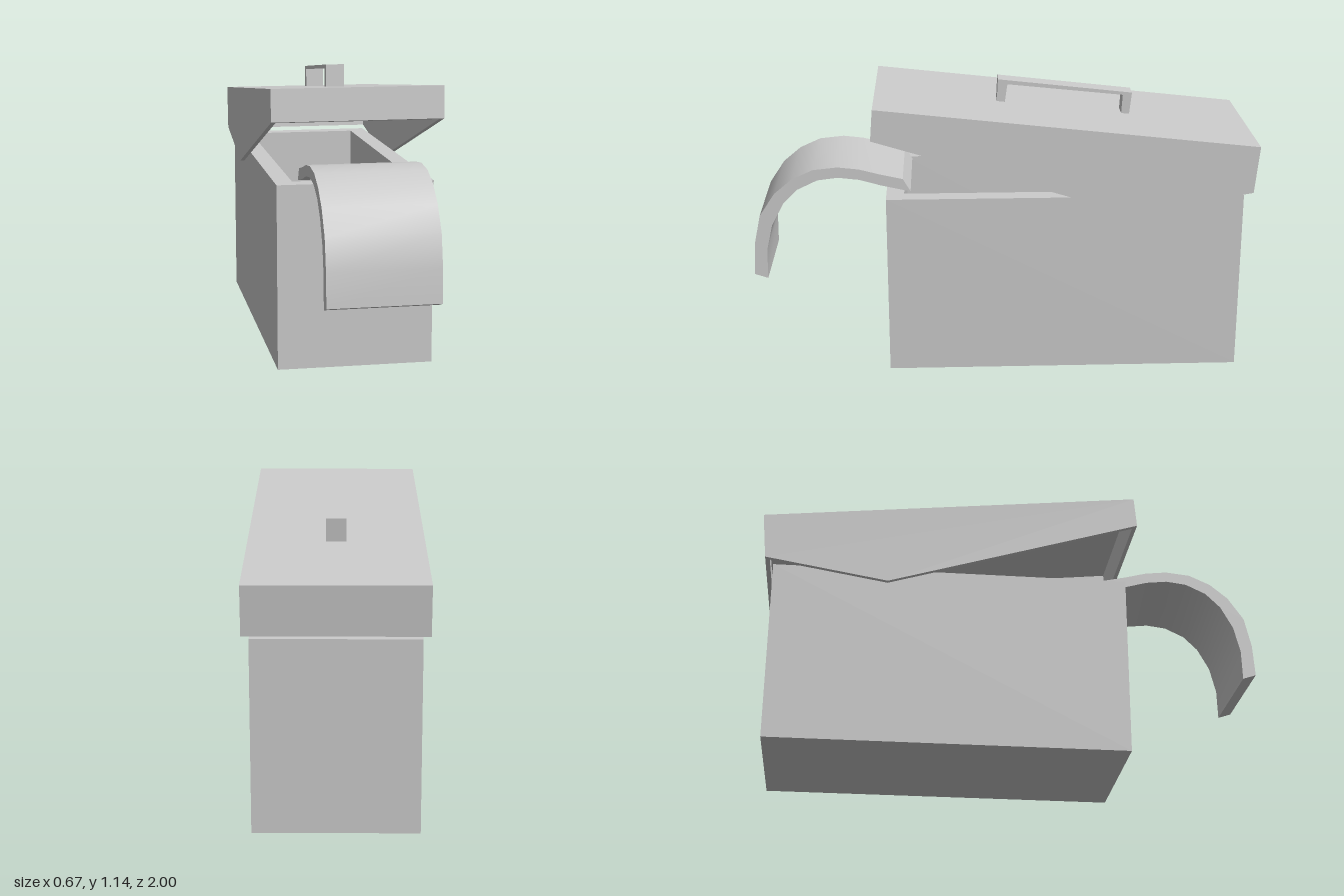
import * as THREE from 'three';
import { toCreasedNormals } from 'three/addons/utils/BufferGeometryUtils.js';

const material = new THREE.MeshStandardMaterial({ color: 0xcccccc });

// Side profile of [z, y] points, extruded across x and centred on x = 0
function profile(points, width) {
  const shape = new THREE.Shape(points.map(([z, y]) => new THREE.Vector2(z, y)));
  const geo = new THREE.ExtrudeGeometry(shape, { depth: width, bevelEnabled: false });
  return geo.translate(0, 0, -width / 2).rotateY(-Math.PI / 2);
}

function add(parent, name, geometry, x = 0, y = 0, z = 0) {
  const mesh = new THREE.Mesh(geometry, material);
  mesh.name = name;
  mesh.position.set(x, y, z);
  parent.add(mesh);
  return mesh;
}

// Rectangle outline centred on the origin
function rect(Type, w, d) {
  return new Type([[-1, -1], [1, -1], [1, 1], [-1, 1]]
    .map(([x, y]) => new THREE.Vector2(x * w / 2, y * d / 2)));
}

export function createModel() {
  const model = new THREE.Group();
  model.name = 'openBox';

  // Open container: a ring of walls on a floor slab
  const W = 0.614, D = 1.41, H = 0.73, wall = 0.07, zMid = -0.245;
  const container = new THREE.Group();
  container.name = 'container';
  container.position.z = zMid;
  const ring = rect(THREE.Shape, W, D);
  ring.holes.push(rect(THREE.Path, W - 2 * wall, D - 2 * wall));
  const walls = new THREE.ExtrudeGeometry(ring, { depth: H, bevelEnabled: false });
  add(container, 'containerWalls', walls.rotateX(-Math.PI / 2));
  add(container, 'containerFloor',
    new THREE.BoxGeometry(W - 2 * wall, wall, D - 2 * wall), 0, wall / 2, 0);
  model.add(container);

  // Tilted lid: a thin shell whose skirt drops to a point at the sides
  const lid = new THREE.Group();
  lid.name = 'lid';
  const t = 0.018, lidW = 0.666;
  const topFront = [0.503, 1.103], lowFront = [0.513, 0.978];
  const point = [-0.497, 0.668], lowBack = [-0.982, 0.748], topBack = [-1, 0.936];
  add(lid, 'lidTopAndEnds', profile([
    topFront, topBack, lowBack, [lowBack[0] + t, lowBack[1] - 0.003],
    [topBack[0] + t, topBack[1] - t + 0.002], [topFront[0] - t, topFront[1] - t - 0.002],
    [lowFront[0] - t, lowFront[1] - 0.005], lowFront,
  ], lidW - 2 * t));
  for (const side of [-1, 1]) {
    add(lid, side > 0 ? 'lidLeftSide' : 'lidRightSide',
      profile([topFront, topBack, lowBack, point, lowFront], t), side * (lidW - t) / 2);
  }
  add(lid, 'lidHandle', profile([
    [0.011, 1.139], [0.016, 1.04], [-0.016, 1.04], [-0.027, 1.118],
    [-0.492, 1.069], [-0.487, 0.985], [-0.519, 0.983], [-0.529, 1.078],
  ], 0.075));
  model.add(lid);

  // Curved tongue reaching over the front rim: outer curve out, inner curve back
  const outer = [[0.395, 0.782], [0.48, 0.801], [0.567, 0.824], [0.652, 0.834], [0.749, 0.824],
    [0.834, 0.786], [0.905, 0.727], [0.967, 0.635], [0.993, 0.515], [1, 0.385]];
  const inner = [[0.947, 0.367], [0.945, 0.487], [0.92, 0.594], [0.872, 0.684], [0.813, 0.743],
    [0.733, 0.781], [0.652, 0.791], [0.567, 0.781], [0.48, 0.756], [0.365, 0.73]];
  add(model, 'tongue', toCreasedNormals(profile([...outer, ...inner], 0.42), 0.7));

  return model;
}
